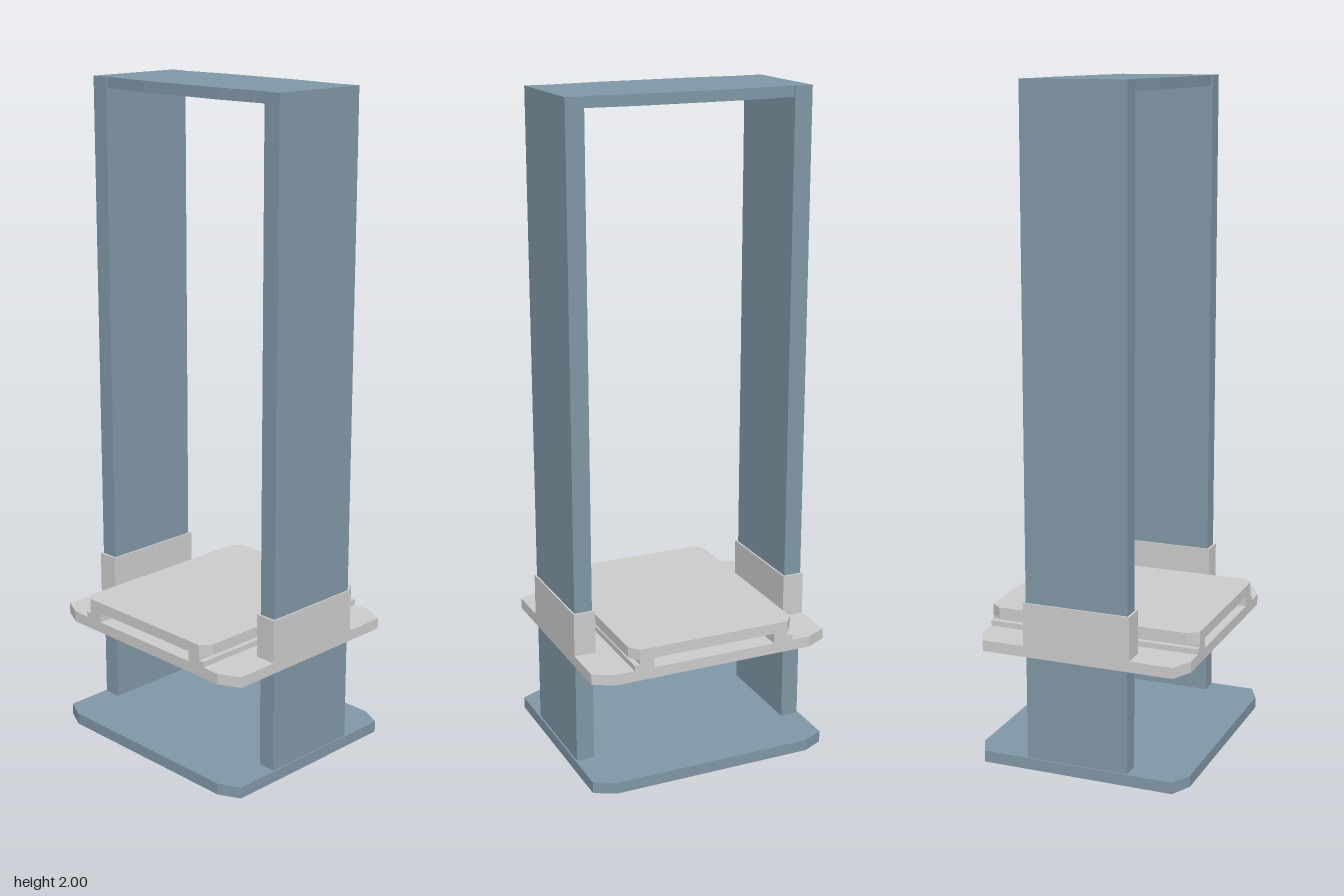
import * as THREE from 'three';

const frameMat = new THREE.MeshStandardMaterial({ color: 0x8097a6, flatShading: true });
const shelfMat = new THREE.MeshStandardMaterial({ color: 0xcccccc, flatShading: true });

// Mirrors one quarter of an outline (points in +x +z, from the x side to the z side) into a full loop.
function mirrored(quarter) {
  const back = [...quarter].reverse();
  return [
    ...quarter,
    ...back.map(([x, z]) => [-x, z]),
    ...quarter.map(([x, z]) => [-x, -z]),
    ...back.map(([x, z]) => [x, -z]),
  ].map(([x, z]) => new THREE.Vector2(x, z));
}

// Extrudes a plan outline upward from y0 to y1.
function slab(name, points, y0, y1, material, hole) {
  const shape = new THREE.Shape(points);
  if (hole) shape.holes.push(new THREE.Path(hole));
  const geometry = new THREE.ExtrudeGeometry(shape, { depth: y1 - y0, bevelEnabled: false });
  geometry.rotateX(-Math.PI / 2).translate(0, y0, 0);
  const mesh = new THREE.Mesh(geometry, material);
  mesh.name = name;
  return mesh;
}

const rect = (w, d) => mirrored([[w / 2, d / 2]]);

function box(name, x0, x1, y0, y1, depth, material) {
  const mesh = new THREE.Mesh(new THREE.BoxGeometry(x1 - x0, y1 - y0, depth), material);
  mesh.position.set((x0 + x1) / 2, (y0 + y1) / 2, 0);
  mesh.name = name;
  return mesh;
}

export function createModel() {
  const model = new THREE.Group();
  model.name = 'liftFrame';

  // Base and sliding platform share one clipped-corner outline
  const plate = mirrored([[0.379, 0.297], [0.314, 0.329]]);
  model.add(slab('base', plate, 0, 0.035, frameMat));
  model.add(slab('platform', plate, 0.35, 0.383, shelfMat));

  // Top beam, slightly wider in the middle
  const beam = mirrored([[0.32, 0.153], [0.312, 0.153], [0.152, 0.166]]);
  model.add(slab('topBeam', beam, 1.968, 2, frameMat));

  // Raised tray with small clipped corners
  const tray = mirrored([[0.264, 0.298], [0.24, 0.329]]);
  model.add(slab('tray', tray, 0.414, 0.447, shelfMat));

  for (const [side, s] of [['left', 1], ['right', -1]]) {
    // Upright column
    const x0 = Math.min(s * 0.319, s * 0.374), x1 = Math.max(s * 0.319, s * 0.374);
    model.add(box(side + 'Column', x0, x1, 0.035, 2, 0.316, frameMat));

    // Sleeve that guides the platform along the column
    const sleeve = slab(side + 'Sleeve', rect(0.067, 0.332), 0.383, 0.515, shelfMat, rect(0.056, 0.318));
    sleeve.position.x = s * 0.3455;
    model.add(sleeve);

    // Stepped rail under the tray: wide foot and narrower neck
    const rail = new THREE.Group();
    rail.name = side + 'Rail';
    for (const [name, outer, y0, y1] of [['railFoot', 0.257, 0.383, 0.4], ['railNeck', 0.24, 0.4, 0.414]]) {
      const a = s * 0.195, b = s * outer;
      rail.add(box(name, Math.min(a, b), Math.max(a, b), y0, y1, 0.658, shelfMat));
    }
    model.add(rail);
  }
  return model;
}
